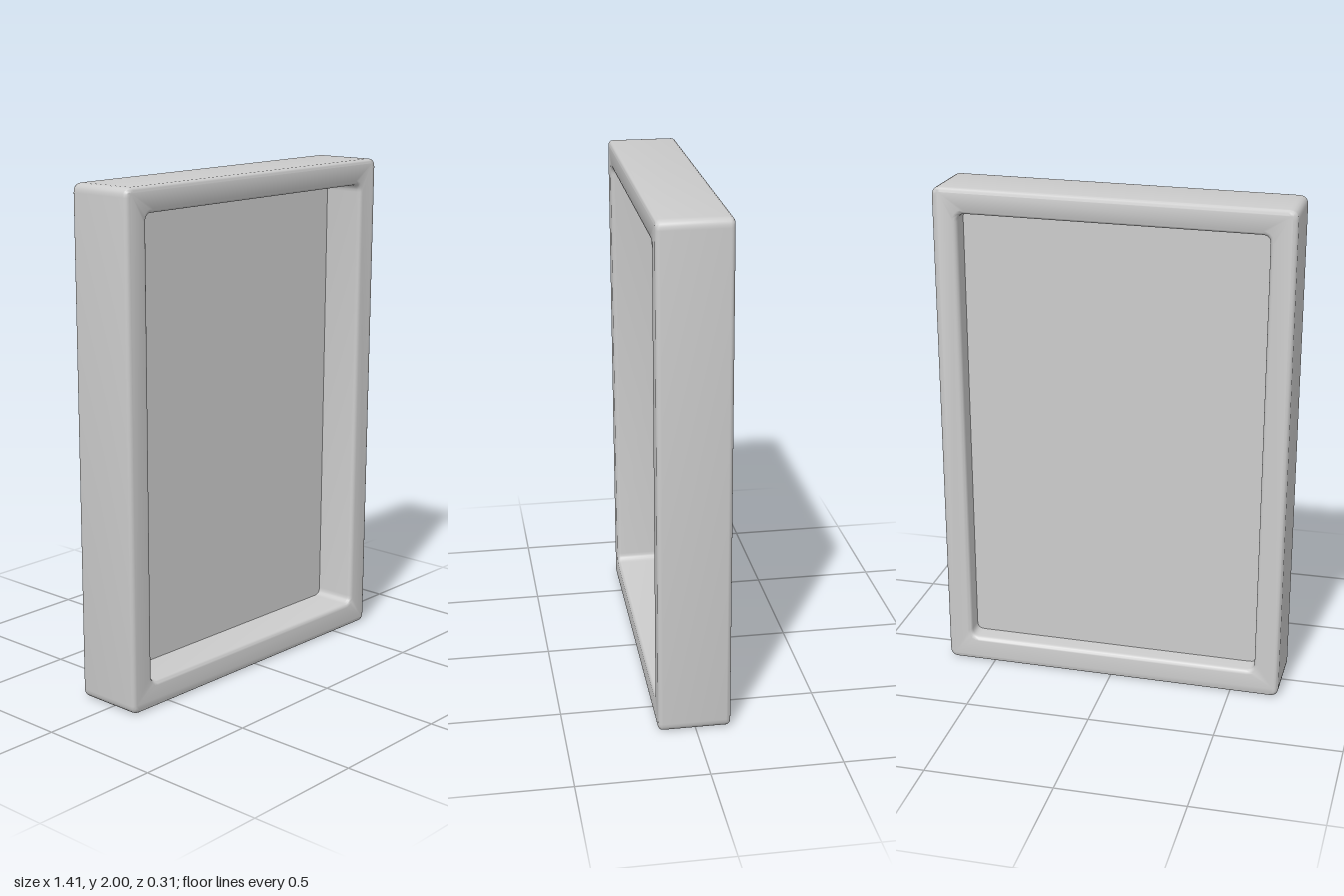
import * as THREE from 'three';
import { toCreasedNormals } from 'three/addons/utils/BufferGeometryUtils.js';

const material = new THREE.MeshStandardMaterial({ color: 0xcccccc });

// Rounded rectangle traced onto a Shape or Path
function roundedRect(path, x0, y0, x1, y1, r) {
  path.moveTo(x0 + r, y0);
  path.lineTo(x1 - r, y0);
  path.quadraticCurveTo(x1, y0, x1, y0 + r);
  path.lineTo(x1, y1 - r);
  path.quadraticCurveTo(x1, y1, x1 - r, y1);
  path.lineTo(x0 + r, y1);
  path.quadraticCurveTo(x0, y1, x0, y1 - r);
  path.lineTo(x0, y0 + r);
  path.quadraticCurveTo(x0, y0, x0 + r, y0);
  return path;
}

// Slight hand-made skew: a small twist, a small lean and a top edge sloping to one side
function warp(geometry) {
  const p = geometry.attributes.position;
  for (let i = 0; i < p.count; i++) {
    const x = p.getX(i), y = p.getY(i), z = p.getZ(i);
    p.setXYZ(
      i,
      x + 0.004 * (y - 1) * Math.sign(x),
      y - 0.003 * (1 - x / 0.7) * y,
      z + 0.014 * x + 0.005 * (y - 1)
    );
  }
  return geometry;
}

function addPart(group, name, geometry, crease) {
  const mesh = new THREE.Mesh(toCreasedNormals(warp(geometry), crease), material);
  mesh.name = name;
  group.add(mesh);
}

export function createModel() {
  const group = new THREE.Group();
  group.name = 'framedPanel';

  // Deep border with softened edges
  const outline = roundedRect(new THREE.Shape(), -0.7, 0, 0.7, 2, 0.035);
  outline.holes.push(roundedRect(new THREE.Path(), -0.6, 0.105, 0.6, 1.9, 0.03));
  const bevel = 0.018, depth = 0.28;
  const frame = new THREE.ExtrudeGeometry(outline, {
    depth: depth - 2 * bevel,
    bevelEnabled: true,
    bevelSize: bevel,
    bevelThickness: bevel,
    bevelOffset: -bevel,
    bevelSegments: 4,
    curveSegments: 5,
  });
  frame.translate(0, 0, bevel - depth / 2);
  addPart(group, 'frame', frame, 0.8);

  // Thin panel, recessed deeper on the front than on the back
  const panel = new THREE.BoxGeometry(1.24, 1.84, 0.03, 8, 12, 1);
  panel.translate(0, 1.0, -0.045);
  addPart(group, 'panel', panel, 0.5);

  return group;
}
